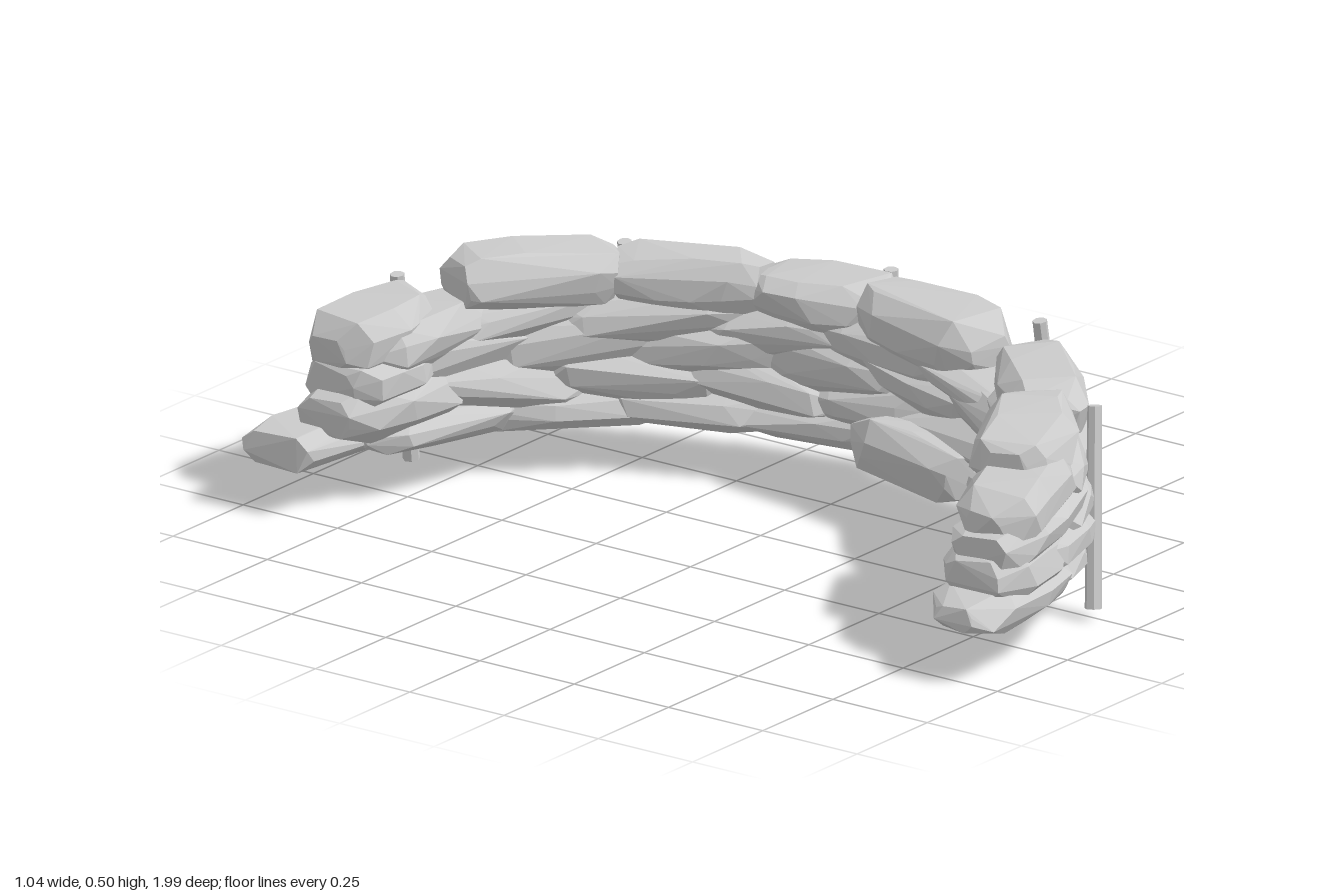
import * as THREE from 'three';
import { ConvexGeometry } from 'three/addons/geometries/ConvexGeometry.js';

const CENTRE_X = -0.48;
const { degToRad, clamp, smoothstep } = THREE.MathUtils;
const stoneMaterial = new THREE.MeshStandardMaterial({ color: 0xcccccc, flatShading: true });

// small seeded generator for the rough stone shapes
function seeded(seed) {
  let s = seed;
  return () => {
    s = (s * 16807) % 2147483647;
    return s / 2147483647;
  };
}

// how far the wall strays from a true half circle (angle in degrees)
function stray(a) {
  const front = 0.034 * smoothstep(a, 8, 32);
  const back = 0.02 * smoothstep(-a, 15, 45) - 0.035 * smoothstep(-a, 55, 76);
  return front + back;
}

// one rough stone lying along the arc between two angles; ends = scale of its two ends
function makeStone(name, a0, a1, y0, y1, radius, halfWidth, seed, ends = [0.6, 0.6], tilt = 0) {
  const rand = seeded(seed * 7919 + 13);
  for (let i = 0; i < 5; i++) rand();
  const jitter = (k) => (rand() * 2 - 1) * k;
  const ring = [[1, 0.35], [0.68, 1], [-0.65, 1], [-1, 0.4], [-1, -0.35], [-0.7, -1], [0.7, -1], [1, -0.4]];
  const stations = [[-1, ends[0]], [-0.65, 0.97], [0.05, 1.02], [0.65, 0.97], [1, ends[1]]];
  const points = [];
  for (const [along, scale] of stations) {
    const twist = jitter(0.07);
    for (const [u, v] of ring) {
      const t = along + (Math.abs(along) === 1 ? jitter(0.05) : jitter(0.24));
      const deg = (a0 + a1) / 2 + t * (a1 - a0) / 2;
      const a = degToRad(deg);
      const r = radius + stray(deg) + halfWidth * (u * scale * (1 + jitter(0.1)) + twist);
      const h = clamp(v * scale * (1 + jitter(0.2)), -1, 1.03);
      const y = (y0 + y1) / 2 + h * (y1 - y0) / 2 + tilt * t;
      points.push(new THREE.Vector3(CENTRE_X + r * Math.cos(a), Math.max(y, 0.1), r * Math.sin(a)));
    }
  }
  const stone = new THREE.Mesh(new ConvexGeometry(points), stoneMaterial);
  stone.name = name;
  return stone;
}

// round stake driven in beside the wall
function makeStake(base, top) {
  const a = new THREE.Vector3(...base), b = new THREE.Vector3(...top);
  const dir = b.clone().sub(a);
  const stake = new THREE.Mesh(new THREE.CylinderGeometry(0.016, 0.019, dir.length(), 7), stoneMaterial);
  stake.position.copy(a).add(b).multiplyScalar(0.5);
  stake.quaternion.setFromUnitVectors(new THREE.Vector3(0, 1, 0), dir.normalize());
  stake.name = 'stake';
  return stake;
}

export function createModel() {
  const model = new THREE.Group();
  model.name = 'curvedStoneWall';

  // lower courses: joint angles, staggered from row to row
  const courses = [
    { y: [0.1, 0.19], r: 0.863, w: 0.1, joints: [-76, -55, -36, -17, 4, 25, 45, 68] },
    { y: [0.155, 0.268], r: 0.863, w: 0.1, joints: [-86, -65, -45, -25, -5, 14, 35, 57, 73, 87] },
    { y: [0.23, 0.345], r: 0.862, w: 0.099, joints: [-84, -72, -54, -33, -14, 6, 24, 46, 66, 86] },
    { y: [0.295, 0.4], r: 0.859, w: 0.095, joints: [-80, -62, -43, -22, -3, 17, 35, 56, 71] },
  ];
  courses.forEach(({ y, r, w, joints }, row) => {
    const course = new THREE.Group();
    course.name = 'course' + (row + 1);
    const rand = seeded(row * 101 + 57);
    const vary = (k) => (rand() - 0.5) * k;
    for (let i = 0; i < joints.length - 1; i++) {
      const first = row > 0 && i === 0, last = row > 0 && i === joints.length - 2;
      // the wall sinks where one capping stone is missing
      const sunk = row === 3 && joints[i] === 17 ? 0.03 : 0;
      course.add(makeStone('stone', joints[i] - (first ? 0 : 3.5), joints[i + 1] + (last ? 0 : 3.5),
        y[0] + (row ? vary(0.02) : 0), y[1] - sunk + vary(0.024), r + vary(0.014), w,
        row * 40 + i + 1, [0.5 + rand() * 0.3, 0.5 + rand() * 0.3], row ? vary(0.05) : 0));
    }
    model.add(course);
  });

  // bottom stones at the two ends of the arc
  model.add(makeStone('backEndStone', -91.5, -72, 0.1, 0.185, 0.925, 0.092, 501, [0.9, 0.6]));
  model.add(makeStone('frontEndStone', 65, 92, 0.1, 0.19, 0.858, 0.1, 502, [0.6, 0.5]));

  // capping stones: start angle, end angle, bottom, top, radius, half width, end scales, tilt
  const caps = [
    [-84, -67, 0.29, 0.425, 0.884, 0.1, [0.5, 0.75], 0.015],
    [-62, -38, 0.37, 0.497, 0.836, 0.09, [0.72, 0.72], 0],
    [-38, -16, 0.36, 0.485, 0.841, 0.088, [0.72, 0.72], 0],
    [-17, 2.5, 0.35, 0.47, 0.856, 0.094, [0.72, 0.72], 0],
    [2.5, 25, 0.33, 0.48, 0.852, 0.097, [0.8, 0.5], -0.01],
    [34, 57, 0.36, 0.482, 0.864, 0.09, [0.72, 0.72], 0],
    [56, 76, 0.35, 0.475, 0.838, 0.097, [0.78, 0.5], -0.01],
    [66, 85, 0.28, 0.405, 0.858, 0.097, [0.75, 0.45], -0.026],
  ];
  const capping = new THREE.Group();
  capping.name = 'cappingStones';
  caps.forEach(([a0, a1, y0, y1, r, w, ends, tilt], i) =>
    capping.add(makeStone('capStone', a0, a1, y0, y1, r, w, 300 + i, ends, tilt)));
  model.add(capping);

  // footing stone bulging from the inner side
  model.add(makeStone('innerFootingStone', 4, 32, 0.1, 0.225, 0.765, 0.088, 401, [0.45, 0.7]));

  // stakes along the outer face
  const stakes = [
    [[-0.01, 0.025, 0.89], [0.055, 0.455, 0.845]],
    [[0.472, 0.055, 0.445], [0.41, 0.46, 0.435]],
    [[0.507, 0.025, -0.025], [0.485, 0.46, -0.015]],
    [[0.355, 0.05, -0.587], [0.29, 0.46, -0.577]],
    [[-0.052, 0.002, -0.887], [-0.11, 0.435, -0.882]],
  ];
  const stakeGroup = new THREE.Group();
  stakeGroup.name = 'stakes';
  stakes.forEach(([base, top]) => stakeGroup.add(makeStake(base, top)));
  model.add(stakeGroup);

  return model;
}
